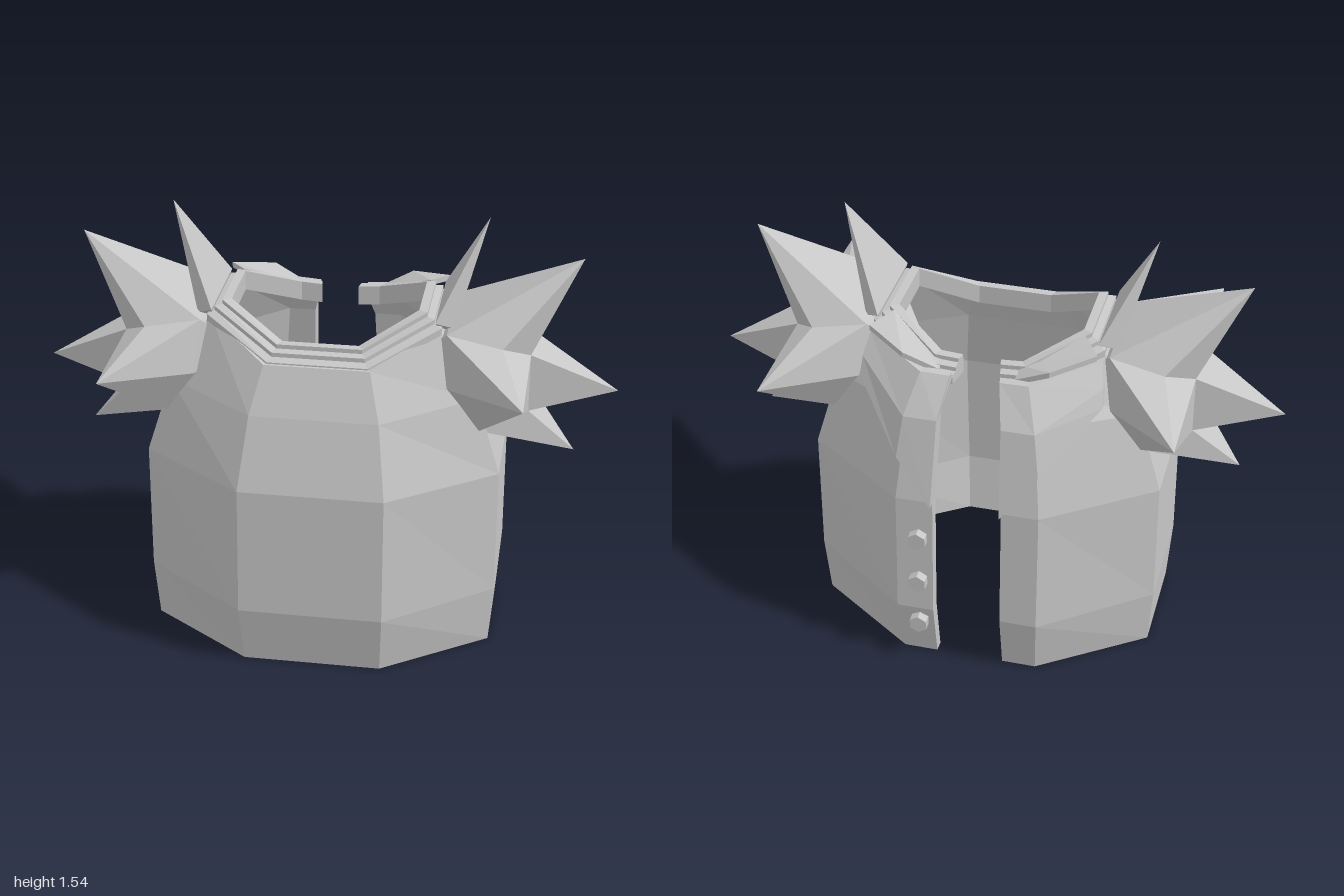
import * as THREE from 'three';

const grey = new THREE.MeshStandardMaterial({ color: 0xc6c6c6 });
grey.name = 'light grey';

function meshFrom(tris, name) {
  const geo = new THREE.BufferGeometry();
  geo.setAttribute('position', new THREE.Float32BufferAttribute(tris.flat(2), 3));
  geo.computeVertexNormals(); // unshared corners keep the facets flat
  const mesh = new THREE.Mesh(geo, grey);
  mesh.name = name;
  return mesh;
}

// Joins closed section loops into a solid with capped ends
function loft(sections, name) {
  const tris = [];
  const quad = (a, b, c, d) => tris.push([a, b, c], [a, c, d]);
  const n = sections[0].length;
  for (let i = 0; i + 1 < sections.length; i++) {
    const p = sections[i], q = sections[i + 1];
    for (let j = 0; j < n; j++) {
      const k = (j + 1) % n;
      quad(p[j], p[k], q[k], q[j]);
    }
  }
  const first = sections[0], last = sections[sections.length - 1];
  for (let j = 0; j < n / 2 - 1; j++) {
    const a = j, b = j + 1, c = n - 2 - j, d = n - 1 - j;
    quad(first[d], first[c], first[b], first[a]);
    quad(last[a], last[b], last[c], last[d]);
  }
  return meshFrom(tris, name);
}

const flip = ([x, y, z]) => [-x, y, z];
// Half a ring of sections, from the back opening to the front, mirrored to a full ring
const mirrored = (half) => [...half, ...half.slice().reverse().map((s) => s.map(flip))];
// A loft on the left side, or its mirror image on the right
const sidedLoft = (side, sections, part) => (side > 0 ? loft(sections, `left${part}`)
  : loft(sections.slice().reverse().map((s) => s.map(flip)), `right${part}`));

// Triangles turned to face away from a centre point
function facing(tris, centre) {
  const c = new THREE.Vector3(...centre);
  return tris.map((t) => {
    const [a, b, d] = t.map((p) => new THREE.Vector3(...p));
    const normal = b.clone().sub(a).cross(d.clone().sub(a));
    const mid = a.clone().add(b).add(d).divideScalar(3).sub(c);
    return normal.dot(mid) < 0 ? [t[0], t[2], t[1]] : t;
  });
}
const pyramid = (tip, base) => base.map((p, i) => [tip, p, base[(i + 1) % base.length]]);

function makeBody() {
  // Outer columns from hem to neck
  const columns = [
    [[0.12, 0, -0.44], [0.12, 0.22, -0.48], [0.12, 0.68, -0.46], [0.11, 1.0, -0.395], [0.08, 1.12, -0.32]],
    [[0.24, 0, -0.44], [0.25, 0.22, -0.48], [0.25, 0.68, -0.46], [0.22, 1.0, -0.395], [0.18, 1.12, -0.32]],
    [[0.6, 0, -0.19], [0.615, 0.22, -0.205], [0.615, 0.68, -0.2], [0.53, 0.97, -0.18], [0.39, 1.19, -0.15]],
    [[0.6, 0, 0.19], [0.615, 0.22, 0.205], [0.615, 0.68, 0.2], [0.53, 0.95, 0.18], [0.39, 1.19, 0.15]],
    [[0.24, 0, 0.44], [0.25, 0.22, 0.48], [0.25, 0.68, 0.46], [0.22, 0.93, 0.38], [0.18, 1.09, 0.31]],
  ];
  const half = columns.map((col, i) => {
    const inner = col.map(([x, y, z]) => [i ? x * 0.93 : x, y, z * 0.91]).reverse();
    return [...col, ...inner];
  });
  return loft(mirrored(half), 'body');
}

function makeCollar() {
  // Inner edge, outward direction and base height at each corner
  const corners = [
    { x: 0.065, z: -0.24, dx: 0.2, dz: -1, y: 1.105 },
    { x: 0.14, z: -0.24, dx: 0.5, dz: -1, y: 1.11 },
    { x: 0.32, z: -0.12, dx: 1, dz: -0.5, y: 1.19 },
    { x: 0.32, z: 0.12, dx: 1, dz: 0.5, y: 1.19 },
    { x: 0.13, z: 0.22, dx: 0.5, dz: 1, y: 1.09 },
  ];
  // Stepped profile as outward distance and height
  const profile = [[0.08, -0.02], [0.08, 0.005], [0.055, 0.015], [0.055, 0.03],
    [0.03, 0.035], [0.03, 0.05], [0, 0.05], [0, -0.02]];
  const half = corners.map((c) => profile.map(([d, h]) => [c.x + c.dx * d, c.y + h, c.z + c.dz * d]));
  return loft(mirrored(half), 'collar');
}

// Small turned-out wing at the back of the collar
function makeCollarWing(side) {
  const rows = [
    [[0.13, 1.13, -0.31], [0.13, 1.15, -0.25]],
    [[0.25, 1.19, -0.33], [0.2, 1.17, -0.24]],
    [[0.39, 1.22, -0.24], [0.33, 1.235, -0.15]],
  ];
  const drop = ([x, y, z]) => [x, y - 0.02, z];
  return sidedLoft(side, rows.map(([out, inn]) => [drop(out), out, inn, drop(inn)]), 'CollarWing');
}

function makeLapel(side) {
  const columns = [
    [[0.12, 0.68, -0.49], [0.11, 1.0, -0.425], [0.085, 1.13, -0.34]],
    [[0.245, 0.85, -0.455], [0.225, 1.0, -0.425], [0.185, 1.135, -0.345]],
    [[0.42, 1.04, -0.275], [0.415, 1.1, -0.25], [0.4, 1.17, -0.2]],
  ];
  const sections = columns.map((col) => [...col, ...col.map(([x, y, z]) => [x, y, z + 0.03]).reverse()]);
  return sidedLoft(side, sections, 'Lapel');
}

function makeShoulder(side) {
  const P = (x, y, z) => [side * x, y, z];
  // Valley corners as [front, back] pairs
  const pair = (x, y, z) => [P(x, y, z), P(x, y, -z)];
  const top = pair(0.42, 1.18, 0.18);
  const upper = pair(0.61, 1.15, 0.2);
  const middle = pair(0.7, 1.09, 0.1);
  const outer = pair(0.7, 0.88, 0.1);
  const lower = pair(0.54, 0.84, 0.2);
  const inner = pair(0.44, 1.0, 0.23);
  const core = P(0.26, 1.0, 0);

  const tris = [
    ...pyramid(P(0.86, 1.41, 0), [top[0], upper[0], middle[0], middle[1], upper[1], top[1]]),
    ...pyramid(P(1, 0.93, 0), [middle[0], outer[0], outer[1], middle[1]]),
    ...pyramid(P(0.86, 0.69, 0), [outer[0], outer[1], lower[1], lower[0]]),
    ...pyramid(core, [top[0], inner[0], lower[0], lower[1], inner[1], top[1]]),
  ];
  [0, 1].forEach((i) => {
    const tip = P(0.7, 1.08, i ? -0.515 : 0.515);
    tris.push(...pyramid(tip, [top[i], upper[i], middle[i], outer[i], lower[i], inner[i]]));
  });

  // Thin spike beside the neck
  const neckIn = pair(0.38, 1.22, 0.18), neckOut = pair(0.44, 1.18, 0.12);
  const spikeBase = [neckIn[0], neckOut[0], neckOut[1], neckIn[1]];
  const spike = [...pyramid(P(0.54, 1.54, 0), spikeBase), ...pyramid(P(0.4, 1.1, 0), spikeBase)];

  const group = new THREE.Group();
  group.name = side > 0 ? 'leftShoulder' : 'rightShoulder';
  group.add(meshFrom(facing(tris, P(0.55, 1.02, 0)), 'spikeCluster'));
  group.add(meshFrom(facing(spike, P(0.42, 1.22, 0)), 'neckSpike'));
  return group;
}

function makeButtons() {
  const group = new THREE.Group();
  group.name = 'buttons';
  const geo = new THREE.CylinderGeometry(0.034, 0.034, 0.034, 6).toNonIndexed();
  geo.rotateX(Math.PI / 2);
  geo.computeVertexNormals();
  for (const [y, z] of [[0.53, -0.48], [0.35, -0.49], [0.165, -0.49]]) {
    const button = new THREE.Mesh(geo, grey);
    button.name = 'button';
    button.position.set(0.17, y, z);
    group.add(button);
  }
  return group;
}

export function createModel() {
  const model = new THREE.Group();
  model.name = 'spikedVest';
  model.add(makeBody(), makeCollar(), makeButtons());
  for (const side of [1, -1]) model.add(makeLapel(side), makeCollarWing(side), makeShoulder(side));
  return model;
}
